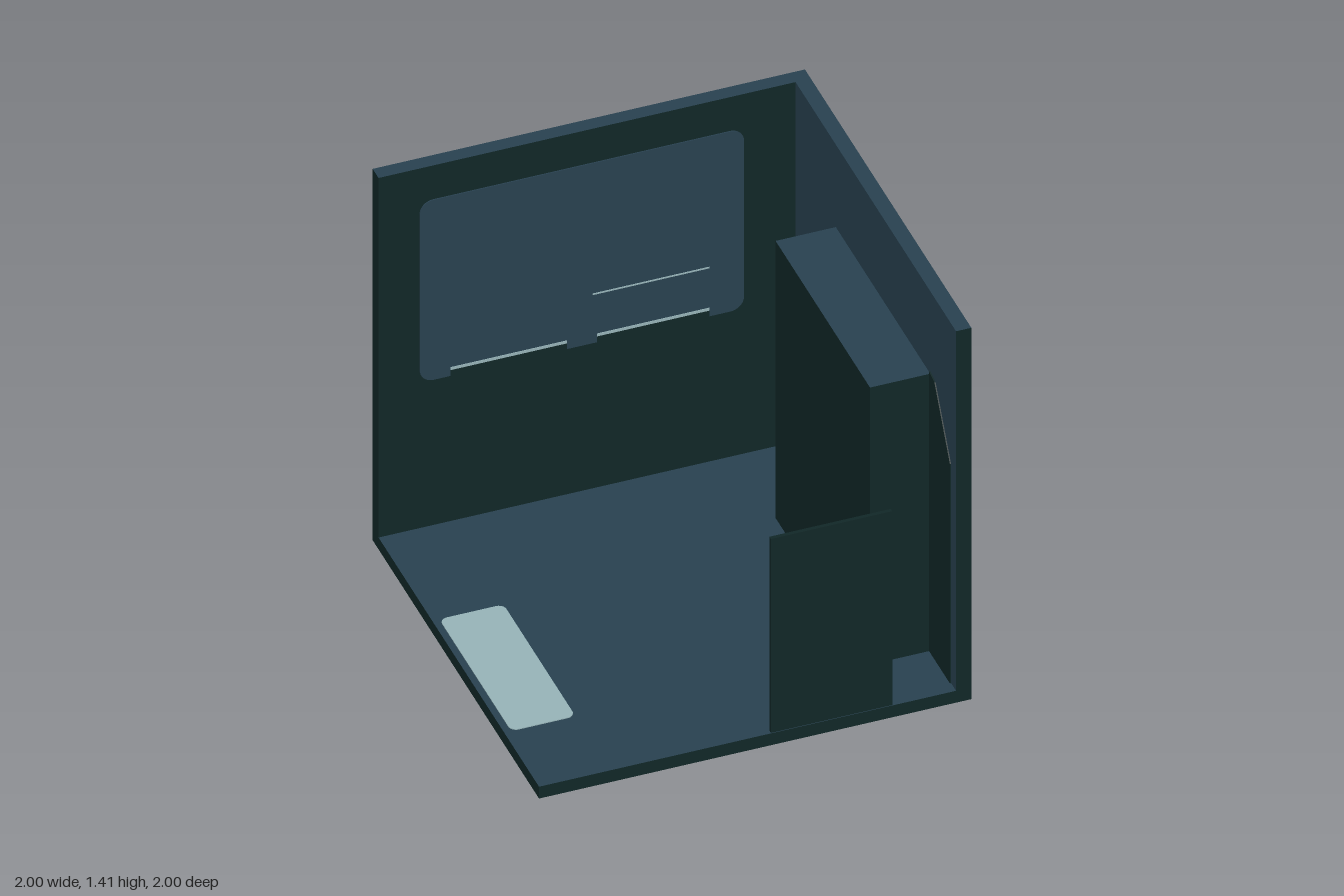
import * as THREE from 'three';

const mat = (name, hex) => {
  const m = new THREE.MeshStandardMaterial({ color: hex });
  m.name = name;
  return m;
};

export function createModel() {
  const green = mat('deepGreen', 0x112727);
  const blue = mat('slateBlue', 0x284150);
  const pale = mat('paleLight', 0x97b4b8);

  const model = new THREE.Group();
  model.name = 'cornerRoom';
  // The room is square and stands turned by 45 degrees
  const room = new THREE.Group();
  room.name = 'room';
  room.rotation.y = Math.PI / 4;
  model.add(room);

  const add = (name, geo, material) => {
    const mesh = new THREE.Mesh(geo, material);
    mesh.name = name;
    room.add(mesh);
    return mesh;
  };
  // Box given by its limits on each axis
  const box = (name, [x0, x1], [y0, y1], [z0, z1], material) => {
    const mesh = add(name, new THREE.BoxGeometry(x1 - x0, y1 - y0, z1 - z0), material);
    mesh.position.set((x0 + x1) / 2, (y0 + y1) / 2, (z0 + z1) / 2);
    return mesh;
  };
  const roundedRect = (w, h, r) => {
    const s = new THREE.Shape();
    const x = w / 2, y = h / 2;
    s.absarc(x - r, y - r, r, 0, Math.PI / 2);
    s.absarc(-x + r, y - r, r, Math.PI / 2, Math.PI);
    s.absarc(-x + r, -y + r, r, Math.PI, Math.PI * 1.5);
    s.absarc(x - r, -y + r, r, Math.PI * 1.5, Math.PI * 2);
    return s;
  };
  const plate = (shape, depth) =>
    new THREE.ExtrudeGeometry(shape, { depth, bevelEnabled: false, curveSegments: 5 });

  // Face order: +x, -x, +y, -y, +z, -z
  const topped = [green, green, blue, green, green, green];
  const lined = [green, blue, blue, green, green, green];
  const S = Math.SQRT1_2, T = 0.05, F = 0.045, H = 1.414, I = S - T;

  // Floor and the two walls
  box('floor', [-S, S], [0, F], [-S, S], topped);
  box('rearWall', [-S, S], [F, H], [-S, -I], topped);
  box('sideWall', [I, S], [F, H], [-I, S], lined);

  // Tall cabinet let into the side wall
  box('cabinet', [0.46, 0.717], [0.03, 1.1], [-0.315, 0.488], topped);

  // Dark slanted panel on the side wall beside the cabinet
  const slant = new THREE.Shape([
    [-0.488, F], [-0.488, 1.11], [-0.533, 1.1], [-0.665, 0.88], [-0.665, F],
  ].map(([a, b]) => new THREE.Vector2(a, b)).reverse());
  const slantMesh = add('slantedPanel', plate(slant, 0.004), green);
  slantMesh.rotation.y = Math.PI / 2;
  slantMesh.position.x = I - 0.004;

  // Upright screen on the open front edge
  box('frontScreen', [0.05, 0.447], [0.05, 0.788], [0.698, 0.711], green);

  // Window with sill strips on the rear wall
  const win = add('window', plate(roundedRect(1.06, 0.685, 0.045), 0.004), blue);
  win.position.set(-0.043, 0.943, -I);
  const zs = [-I + 0.001, -I + 0.006];
  for (const [x0, x1] of [[-0.474, -0.093], [0.006, 0.374]]) {
    box('sillStrip', [x0, x1], [0.624, 0.634], zs, pale);
    box('sillShade', [x0, x1], [0.599, 0.624], zs, green);
  }
  box('windowBar', [-0.008, 0.374], [0.785, 0.79], zs, pale);

  // Pale rounded mat on the floor
  const rug = add('floorMat', plate(roundedRect(0.21, 0.61, 0.025), 0.003), pale);
  rug.rotation.x = -Math.PI / 2;
  rug.position.set(-0.58, F, 0.107);

  return model;
}
